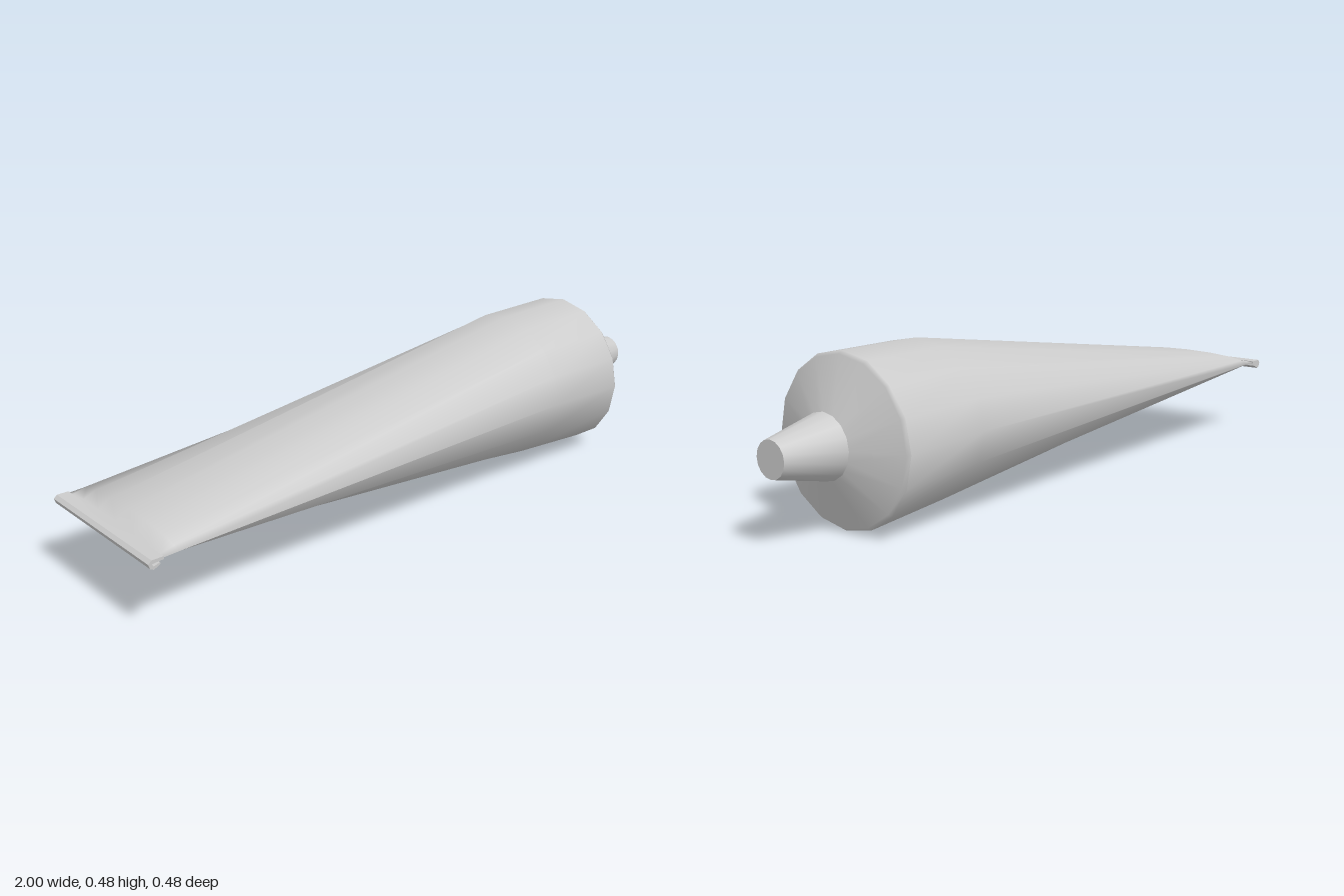
import * as THREE from 'three';

const SIDES = 16;
const material = new THREE.MeshStandardMaterial({ color: 0xcccccc, side: THREE.DoubleSide });

// Skin of elliptical rings along x: [x, bottom y, top y, half width in z]
function loft(name, rings) {
  const positions = [], index = [];
  rings.forEach(([x, bottom, top, halfWidth], r) => {
    for (let i = 0; i < SIDES; i++) {
      const angle = (i / SIDES) * Math.PI * 2;
      positions.push(x, (top + bottom) / 2 + Math.cos(angle) * (top - bottom) / 2, Math.sin(angle) * halfWidth);
      if (r === rings.length - 1) continue;
      const a = r * SIDES + i, b = r * SIDES + (i + 1) % SIDES;
      index.push(a, b, a + SIDES, b, b + SIDES, a + SIDES);
    }
  });
  const geometry = new THREE.BufferGeometry();
  geometry.setAttribute('position', new THREE.Float32BufferAttribute(positions, 3));
  geometry.setIndex(index);
  geometry.computeVertexNormals();
  const mesh = new THREE.Mesh(geometry, material);
  mesh.name = name;
  return mesh;
}

export function createModel() {
  const group = new THREE.Group();
  group.name = 'squeezeTube';

  // Round at the shoulder, pressed flat towards the tail
  group.add(loft('tubeBody', [
    [-0.985, 0.236, 0.246, 0.236],
    [-0.95, 0.236, 0.248, 0.237],
    [-0.91, 0.216, 0.27, 0.237],
    [0.48, 0.026, 0.48, 0.239],
    [0.755, 0.002, 0.48, 0.239],
  ]));

  // Sloping shoulder with a small rounded rim, running into the neck
  group.add(loft('shoulder', [
    [0.755, 0.002, 0.48, 0.239],
    [0.765, 0.01, 0.472, 0.231],
    [0.82, 0.165, 0.315, 0.075],
    [0.84, 0.171, 0.309, 0.069],
  ]));

  // Tapered cap
  const capGeometry = new THREE.CylinderGeometry(0.051, 0.091, 0.175, SIDES);
  capGeometry.rotateZ(-Math.PI / 2);
  const cap = new THREE.Mesh(capGeometry, material);
  cap.name = 'cap';
  cap.position.set(0.9125, 0.241, 0);
  group.add(cap);

  // Tail crimp folded back underneath
  const fold = new THREE.Shape([
    [-0.955, 0.246], [-0.99, 0.247], [-1, 0.238], [-0.995, 0.224],
    [-0.985, 0.219], [-0.965, 0.229], [-0.967, 0.234], [-0.985, 0.228],
    [-0.989, 0.236], [-0.955, 0.238],
  ].map(([x, y]) => new THREE.Vector2(x, y)));
  const foldGeometry = new THREE.ExtrudeGeometry(fold, { depth: 0.476, bevelEnabled: false });
  foldGeometry.translate(0, 0, -0.238);
  const tail = new THREE.Mesh(foldGeometry, material);
  tail.name = 'tailFold';
  group.add(tail);

  return group;
}
